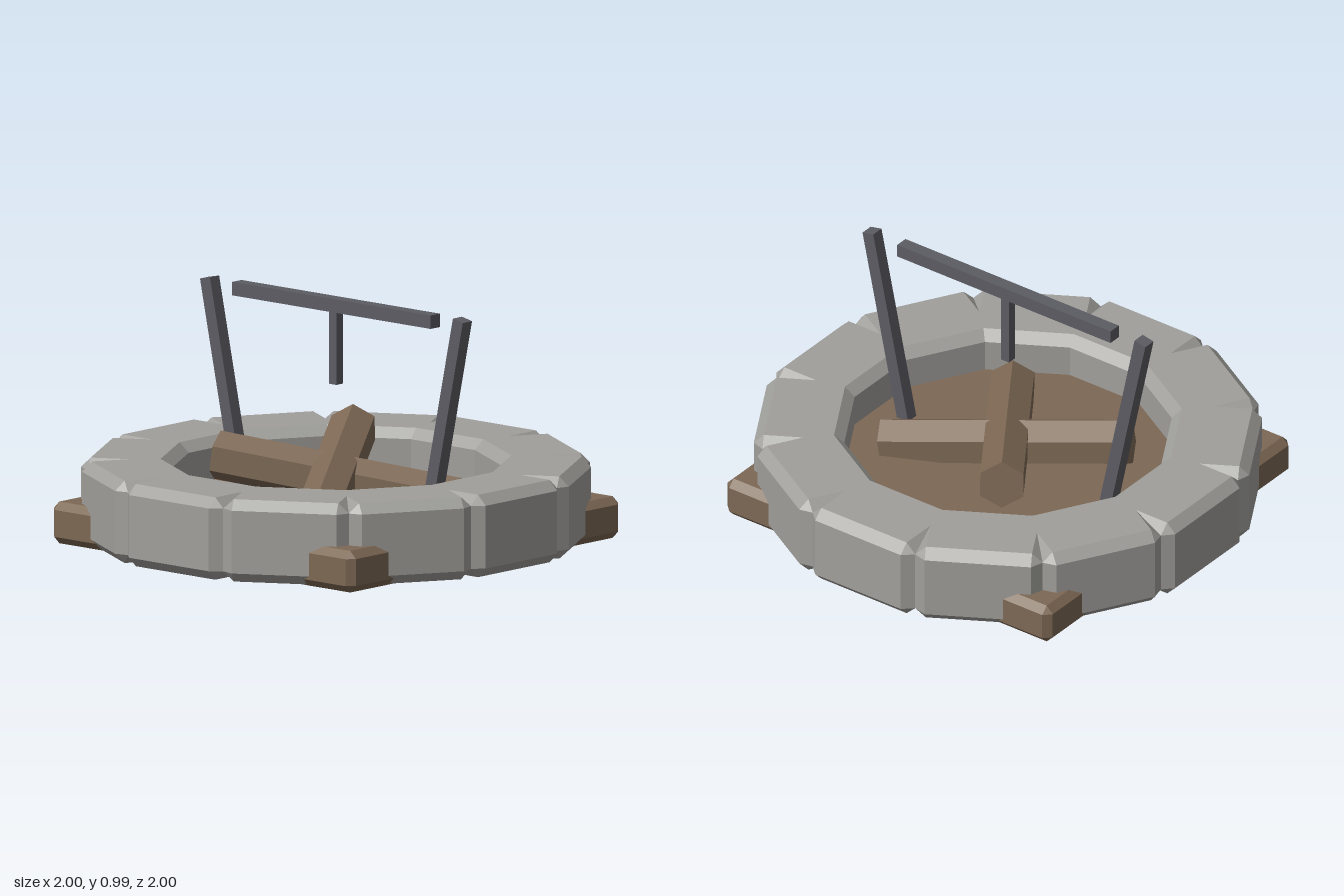
import * as THREE from 'three';
import { ConvexGeometry } from 'three/addons/geometries/ConvexGeometry.js';

const material = (name, color) => Object.assign(new THREE.MeshStandardMaterial({ color }), { name });

// One ring stone facing +z: bevelled edges and tapering notches at both joints
function stoneGeometry() {
  const t = Math.tan(Math.PI / 12), low = 0.004, high = 0.34, bevel = 0.3;
  const A = [0.64 * t, bevel, 0.64], B = [0.68 * t, high, 0.68], C = [0.8 * t, high, 0.8];
  const D = [0.8 * t, high, 0.96], E = [0.8 * t, bevel, 1], F = [0.96 * t, bevel, 0.96];
  const mx = ([x, y, z]) => [-x, y, z];
  const my = ([x, y, z]) => [x, low + high - y, z];
  const positions = [];
  const face = (points) => {
    for (let i = 1; i < points.length - 1; i++) positions.push(...points[0], ...points[i], ...points[i + 1]);
  };
  const mirrored = (points, mirror) => points.map(mirror).reverse();
  const both = (points, mirror) => { face(points); face(mirrored(points, mirror)); };

  // Top, bottom and their bevels
  both([mx(B), mx(C), mx(D), D, C, B], my);
  both([mx(D), mx(E), E, D], my);
  both([B, A, mx(A), mx(B)], my);
  // Notches, mirrored left to right and top to bottom
  for (const notch of [[C, D, F], [D, E, F]]) {
    both(notch, mx);
    both(mirrored(notch, my), mx);
  }
  // Upright walls
  face([mx(E), my(mx(E)), my(E), E]);
  face([A, my(A), my(mx(A)), mx(A)]);
  both([E, my(E), my(F), F], mx);

  const geometry = new THREE.BufferGeometry();
  geometry.setAttribute('position', new THREE.Float32BufferAttribute(positions, 3));
  geometry.computeVertexNormals();
  return geometry;
}

// Box with every edge cut flat
function bevelledBox(width, height, depth, cut) {
  const points = [];
  for (const x of [-1, 1]) for (const y of [-1, 1]) for (const z of [-1, 1]) {
    for (let axis = 0; axis < 3; axis++) {
      const inset = [cut, cut, cut];
      inset[axis] = 0;
      points.push(new THREE.Vector3(
        x * (width / 2 - inset[0]), y * (height / 2 - inset[1]), z * (depth / 2 - inset[2])));
    }
  }
  return new ConvexGeometry(points);
}

export function createModel() {
  const stone = material('stone', 0xa09f9b);
  const wood = material('wood', 0x7d6854);
  const iron = material('iron', 0x5c5c63);
  const model = new THREE.Group();
  model.name = 'firePit';

  const add = (name, geometry, mat, x = 0, y = 0, z = 0) => {
    const mesh = new THREE.Mesh(geometry, mat);
    mesh.name = name;
    mesh.position.set(x, y, z);
    model.add(mesh);
    return mesh;
  };

  // Square wooden base, also the floor of the pit
  add('base', bevelledBox(1.63, 0.17, 1.63, 0.03), wood, 0, 0.085, 0);

  // Ring of twelve stones
  const block = stoneGeometry();
  for (let i = 0; i < 12; i++) add('ringStone', block, stone).rotation.y = i * Math.PI / 6;

  // Two crossed six-sided logs, each with a raised end
  const log = (name, from, to) => {
    const a = new THREE.Vector3(...from), b = new THREE.Vector3(...to);
    const geometry = new THREE.CylinderGeometry(0.1, 0.1, a.distanceTo(b), 6)
      .rotateX(Math.PI / 2).toNonIndexed();
    geometry.computeVertexNormals();
    const mid = a.clone().add(b).multiplyScalar(0.5);
    add(name, geometry, wood, mid.x, mid.y, mid.z).lookAt(b);
  };
  log('upperLog', [-0.285, 0.365, -0.42], [0.285, 0.205, 0.41]);
  log('lowerLog', [-0.46, 0.32, 0.2], [0.46, 0.185, -0.22]);

  // Iron frame: leaning uprights, crossbar and hanging bar
  for (const side of [-1, 1]) {
    const name = side > 0 ? 'leftUpright' : 'rightUpright';
    add(name, new THREE.BoxGeometry(0.055, 0.86, 0.055), iron, side * 0.593, 0.567, 0)
      .rotation.z = -side * 0.209;
  }
  add('crossbar', new THREE.BoxGeometry(1.07, 0.055, 0.055), iron, 0, 0.963, 0);
  add('hangingBar', new THREE.BoxGeometry(0.04, 0.3, 0.04), iron, 0, 0.79, 0);

  return model;
}
